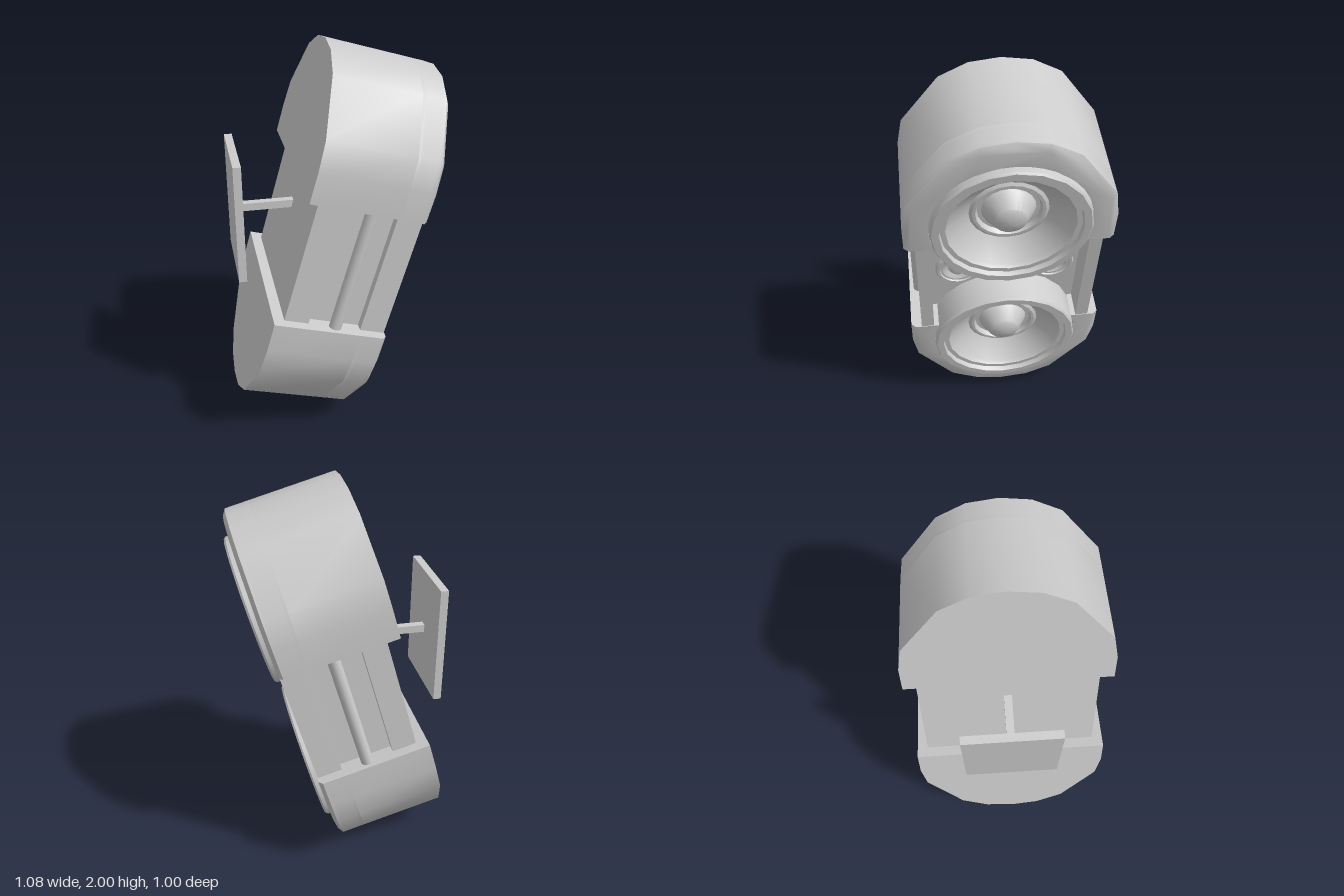
import * as THREE from 'three';
import { toCreasedNormals } from 'three/addons/utils/BufferGeometryUtils.js';

const TILT = 0.277;      // forward lean of the cabinet
const CONE_V = 0.456;    // height of woofer centres from the middle
const CONE_R = 0.38;
const SPLIT = 0.32;      // where the end caps meet the waist
const FLOOR = 0.44;      // depth of the recessed baffle

const material = new THREE.MeshStandardMaterial({ color: 0xcccccc });

function addMesh(parent, name, geometry, x = 0, y = 0, z = 0) {
  const mesh = new THREE.Mesh(geometry, material);
  mesh.name = name;
  mesh.position.set(x, y, z);
  parent.add(mesh);
  return mesh;
}

const crease = (geometry, angle = 0.7) => toCreasedNormals(geometry, angle);

// Closed shape from half an outline, mirrored across x = 0
function mirrored(half) {
  const other = half.filter(([x]) => x > 0).map(([x, y]) => [-x, y]).reverse();
  return new THREE.Shape([...half, ...other].map(([x, y]) => new THREE.Vector2(x, y)));
}

const extrude = (shape, depth, steps = 1) =>
  new THREE.ExtrudeGeometry(shape, { depth, steps, bevelEnabled: false });

// Profile is [radius, height]; the axis is turned to face forward
function lathe(profile, segments) {
  const points = profile.map(([r, h]) => new THREE.Vector2(r, h));
  return crease(new THREE.LatheGeometry(points, segments).rotateX(Math.PI / 2), 0.5);
}

// Rounded end cap: solid back block plus a front collar around the woofer
function createCap() {
  const cap = new THREE.Group();
  const outer = [[0.5, SPLIT], [0.5, 0.47], [0.475, 0.613], [0.29, 0.864], [0.15, 0.938], [0, 0.959]];
  addMesh(cap, 'capBlock', crease(extrude(mirrored(outer), FLOOR)));

  // Collar outline with a round notch open to the waist
  const notch = [];
  const start = Math.asin((SPLIT - CONE_V) / CONE_R);
  for (let i = 0; i <= 12; i++) {
    const a = Math.PI / 2 + (start - Math.PI / 2) * (i / 12);
    notch.push([i ? Math.cos(a) * CONE_R : 0, CONE_V + Math.sin(a) * CONE_R]);
  }
  const collar = extrude(mirrored([...notch, ...outer]), 0.14, 7);

  // Chamfer the outer front edge only
  const p = collar.attributes.position;
  for (let i = 0; i < p.count; i++) {
    const x = p.getX(i), y = p.getY(i);
    if (p.getZ(i) > 0.135 && Math.hypot(x, y - CONE_V) > CONE_R + 0.005) {
      p.setXY(i, x * 0.95, SPLIT + (y - SPLIT) * 0.953);
    }
  }
  addMesh(cap, 'capCollar', crease(collar), 0, 0, FLOOR);
  return cap;
}

export function createModel() {
  const model = new THREE.Group();
  model.name = 'speaker';

  // Cabinet frame: local z is forward (+x of the model), local y is its long axis
  const cabinet = new THREE.Group();
  cabinet.name = 'cabinet';
  cabinet.rotation.set(0, Math.PI / 2, -TILT, 'ZYX');
  cabinet.position.set(-0.2825, 1.0775, 0);
  model.add(cabinet);

  // Waist with side grooves and the recessed baffle
  const waist = extrude(mirrored([
    [0, 0.057], [0.445, 0.057], [0.445, 0.18], [0.4, 0.18], [0.4, 0.45],
    [0.445, 0.45], [0.445, 0.577], [0.38, 0.577], [0.38, FLOOR], [0, FLOOR],
  ]), SPLIT * 2);
  addMesh(cabinet, 'waist', waist.rotateX(Math.PI / 2), 0, SPLIT, 0);

  const wooferGeometry = lathe([
    [0.378, FLOOR], [0.378, 0.605], [0.37, 0.615], [0.335, 0.615], [0.33, 0.59], [0.305, 0.59],
    [0.295, 0.57], [0.19, 0.485], [0.175, 0.495], [0.16, 0.495], [0.15, 0.47], [0.13, 0.47],
    [0.122, 0.485], [0.078, 0.55], [0.055, 0.562], [0.028, 0.569], [0, 0.571],
  ], 20);
  const tweeterGeometry = lathe([
    [0.115, 0], [0.115, 0.022], [0.108, 0.03], [0.094, 0.03], [0.09, 0.022], [0.08, 0.022],
    [0.055, 0.006], [0.047, 0.006], [0.043, 0.022], [0.028, 0.035], [0, 0.04],
  ], 20);
  const rodGeometry = new THREE.CylinderGeometry(0.031, 0.031, SPLIT * 2, 16);

  for (const side of [1, -1]) {
    const end = side > 0 ? 'upper' : 'lower';
    const hand = side > 0 ? 'right' : 'left';

    const cap = createCap();
    cap.name = end + 'Cap';
    cap.rotation.z = side > 0 ? 0 : Math.PI;
    cabinet.add(cap);

    addMesh(cabinet, end + 'Woofer', wooferGeometry, 0, side * CONE_V, 0);
    addMesh(cabinet, hand + 'Tweeter', tweeterGeometry, side * 0.24, 0.005, FLOOR);
    addMesh(cabinet, hand + 'Rod', rodGeometry, side * 0.447, 0, 0.317);
  }

  // Upright wall bracket behind the cabinet
  addMesh(model, 'wallPlate', new THREE.BoxGeometry(0.04, 0.61, 0.47), -0.485, 1.17, -0.004);
  addMesh(model, 'bracketArm', new THREE.BoxGeometry(0.32, 0.04, 0.04), -0.31, 1.17, -0.004);

  return model;
}
